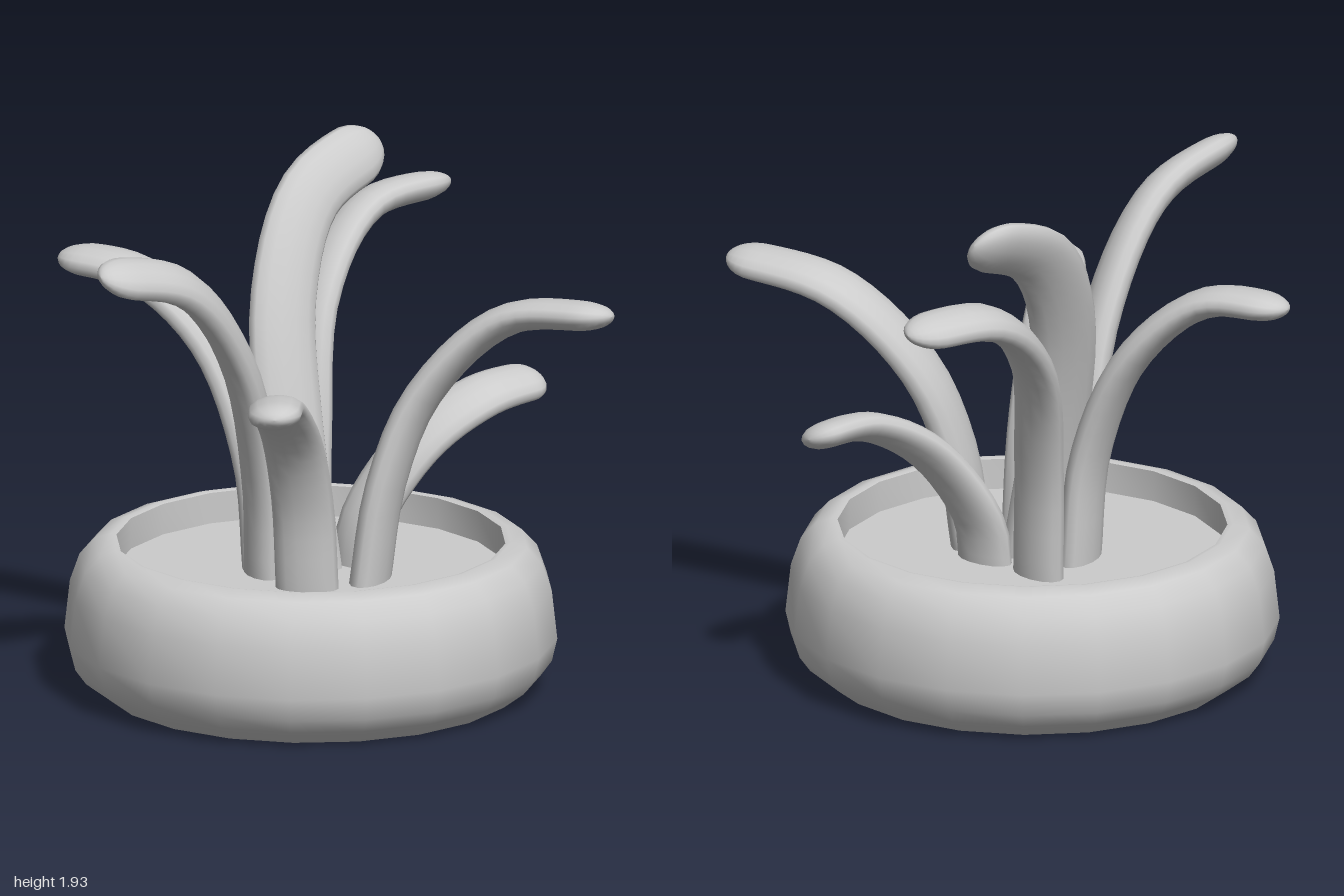
import * as THREE from 'three';
import { toCreasedNormals } from 'three/addons/utils/BufferGeometryUtils.js';

const material = new THREE.MeshStandardMaterial({ color: 0xcccccc });
const SIDES = 20;
const POT_X = 0.045;
const SOIL_Y = 0.44;

// Flattened, tapering leaf with a rounded tip, swept along a smooth path.
// turn: heading of the blade's broad direction; w, h: half width and half thickness.
function leafGeometry(points, turn, w, h) {
  const curve = new THREE.CatmullRomCurve3(points.map((p) => new THREE.Vector3(...p)));
  const around = 14;
  const steps = 26;
  const pos = [];
  const index = [];
  const s = new THREE.Vector3(Math.cos(turn), 0, Math.sin(turn));
  for (let i = 0; i <= steps; i++) {
    // stations crowd together towards the tip
    const t = Math.sin((i / steps) * Math.PI / 2);
    const p = curve.getPointAt(t);
    const tangent = curve.getTangentAt(t);
    // carry the broad direction along, kept square to the path
    s.addScaledVector(tangent, -s.dot(tangent)).normalize();
    const n = new THREE.Vector3().crossVectors(tangent, s);
    const k = Math.max(0, (t - 0.92) / 0.08);
    const round = Math.sqrt(Math.max(0, 1 - k * k));
    const hw = w * (1 - 0.17 * t * t) * round;
    const hh = h * (1 - 0.2 * t * t) * round;
    for (let j = 0; j < around; j++) {
      const a = (j / around) * Math.PI * 2;
      const v = p.clone().addScaledVector(s, Math.cos(a) * hw).addScaledVector(n, Math.sin(a) * hh);
      pos.push(v.x, v.y, v.z);
      if (i === 0) continue;
      const c = i * around + j;
      const d = i * around + ((j + 1) % around);
      index.push(c - around, d - around, c, d - around, d, c);
    }
  }
  const g = new THREE.BufferGeometry();
  g.setAttribute('position', new THREE.Float32BufferAttribute(pos, 3));
  g.setIndex(index);
  g.computeVertexNormals();
  return g;
}

export function createModel() {
  const model = new THREE.Group();
  model.name = 'pottedPlant';
  const add = (name, geometry) => {
    const mesh = new THREE.Mesh(geometry, material);
    mesh.name = name;
    model.add(mesh);
    return mesh;
  };

  // Rounded bowl: base, bulging wall, rim and inner wall
  const profile = [[0, 0], [0.76, 0], [0.84, 0.06], [0.88, 0.115], [0.9, 0.2], [0.88, 0.38],
    [0.845, 0.48], [0.79, 0.54], [0.73, 0.56], [0.71, 0.555], [0.71, 0.42]]
    .map(([r, y]) => new THREE.Vector2(r, y));
  const pot = add('pot', toCreasedNormals(new THREE.LatheGeometry(profile, SIDES), 0.6));
  pot.position.x = POT_X;

  // Soil set below the rim
  const soil = add('soil', new THREE.CircleGeometry(0.715, SIDES).rotateX(-Math.PI / 2));
  soil.position.set(POT_X, SOIL_Y, 0);

  // Each leaf: root in the soil [x, z], then points along its arc up to the tip
  const addLeaf = (name, [x, z], arc, turn, w = 0.115, h = 0.062) =>
    add(name, leafGeometry([[x, SOIL_Y - 0.03, z], ...arc], turn, w, h));

  addLeaf('leftLeaf', [-0.12, -0.06],
    [[-0.15, 0.8, -0.03], [-0.3, 1.28, 0.06], [-0.6, 1.64, 0.17], [-1.0, 1.76, 0.25]], 1.85, 0.115, 0.068);
  addLeaf('frontLeftLeaf', [-0.09, 0.2],
    [[-0.13, 0.78, 0.23], [-0.23, 1.05, 0.32], [-0.4, 1.23, 0.5], [-0.57, 1.28, 0.76]], 0.64);
  addLeaf('frontRightLeaf', [0.16, 0.22],
    [[0.22, 0.8, 0.24], [0.35, 1.13, 0.29], [0.58, 1.42, 0.48], [0.81, 1.49, 0.85]], -0.64, 0.125, 0.066);
  addLeaf('rightLeaf', [0.23, 0.03],
    [[0.26, 0.6, 0.03], [0.45, 0.88, 0.08], [0.7, 1.02, 0.1], [0.99, 1.04, 0.05]], 1.25, 0.115, 0.06);
  addLeaf('backRightLeaf', [0.16, -0.21],
    [[0.19, 0.88, -0.26], [0.31, 1.32, -0.4], [0.6, 1.59, -0.55], [0.99, 1.63, -0.6]], 1.42, 0.115, 0.066);
  addLeaf('tallCentreLeaf', [0.03, 0.01],
    [[0.02, 0.95, -0.11], [0.08, 1.41, -0.25], [0.27, 1.73, -0.38], [0.62, 1.87, -0.48]], 0.1, 0.138, 0.066);
  addLeaf('backLeftLeaf', [-0.06, -0.15],
    [[-0.09, 0.85, -0.18], [-0.18, 1.25, -0.33], [-0.35, 1.48, -0.54], [-0.51, 1.51, -0.84]], -0.53, 0.122, 0.064);
  return model;
}
